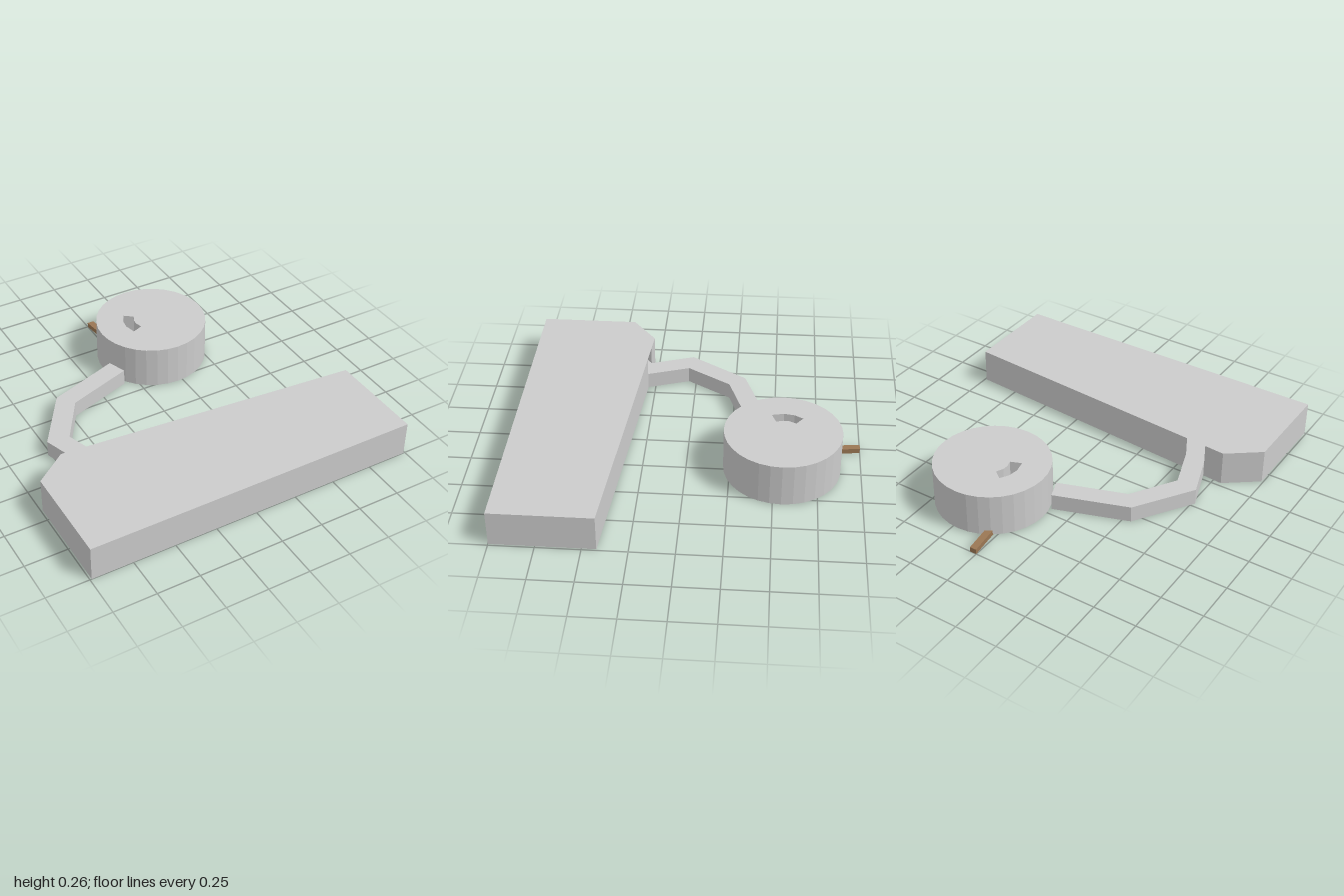
import * as THREE from 'three';

const grey = new THREE.MeshStandardMaterial({ color: 0xcccccc, flatShading: true, side: THREE.DoubleSide });
const brown = new THREE.MeshStandardMaterial({ color: 0x9a7653, flatShading: true, side: THREE.DoubleSide });

// Plan outlines are listed as [x, z]
const toPoints = (plan) => plan.map(([x, z]) => new THREE.Vector2(x, -z));

function add(group, name, geometry, material = grey) {
  const mesh = new THREE.Mesh(geometry, material);
  mesh.name = name;
  group.add(mesh);
  return mesh;
}

// Upright prism on a plan outline, from y0 to y1
function prism(plan, y0, y1, hole) {
  const shape = new THREE.Shape(toPoints(plan));
  if (hole) shape.holes.push(new THREE.Path(toPoints(hole)));
  return new THREE.ExtrudeGeometry(shape, { depth: y1 - y0, bevelEnabled: false })
    .rotateX(-Math.PI / 2).translate(0, y0, 0);
}

// Flat plate on a plan outline
function plate(plan, y, faceDown = false) {
  const geometry = new THREE.ShapeGeometry(new THREE.Shape(toPoints(plan))).rotateX(-Math.PI / 2);
  if (faceDown) geometry.index.array.reverse();
  return geometry.translate(0, y, 0);
}

// Vertical walls along an open plan path, outside on the right of travel
function walls(path, height) {
  const pos = [];
  for (let i = 0; i < path.length - 1; i++) {
    const [ax, az] = path[i], [bx, bz] = path[i + 1];
    pos.push(ax, 0, az, bx, 0, bz, bx, height, bz, ax, 0, az, bx, height, bz, ax, height, az);
  }
  const geometry = new THREE.BufferGeometry();
  geometry.setAttribute('position', new THREE.Float32BufferAttribute(pos, 3));
  geometry.computeVertexNormals();
  return geometry;
}

export function createModel() {
  const model = new THREE.Group();
  model.name = 'model';

  // Main block: hollow, with a mouth in the back wall where the arm enters
  const block = new THREE.Group();
  block.name = 'mainBlock';
  model.add(block);
  const outline = [[-0.68, 0.285], [-0.8, 0.275], [-0.99, 0.42], [-0.99, 1], [0.99, 1], [0.99, 0.42], [-0.555, 0.295]];
  add(block, 'blockTop', plate(outline, 0.21));
  add(block, 'blockBottom', plate(outline, 0, true));
  add(block, 'blockWalls', walls(outline, 0.21));

  // Bent arm between the block and the drum
  add(model, 'arm', prism([
    [-0.68, 0.285], [-0.77, 0.025], [-0.55, -0.31], [-0.12, -0.46],
    [-0.08, -0.35], [-0.475, -0.215], [-0.64, 0.045], [-0.555, 0.295],
  ], 0.002, 0.1));

  // Round drum with a curved slot in its top
  const drum = new THREE.Group();
  drum.name = 'drum';
  model.add(drum);
  const circle = [];
  for (let i = 0; i < 32; i++) {
    const a = (i / 32) * Math.PI * 2;
    circle.push([0.215 + 0.336 * Math.cos(a), -0.548 - 0.336 * Math.sin(a)]);
  }
  const slot = [
    [0.085, -0.66], [0.135, -0.62], [0.115, -0.58], [0.113, -0.545],
    [0.125, -0.505], [0.06, -0.48], [0.045, -0.55], [0.055, -0.61],
  ];
  add(drum, 'drumBody', prism(circle, 0.004, 0.26, slot));
  add(drum, 'slotFloor', plate(slot, 0.006));

  // Thin strip running out from under the back of the drum
  add(model, 'strip', prism([[0, -1], [0.04, -1], [0.078, -0.69], [0.038, -0.68]], 0, 0.03), brown);

  return model;
}
